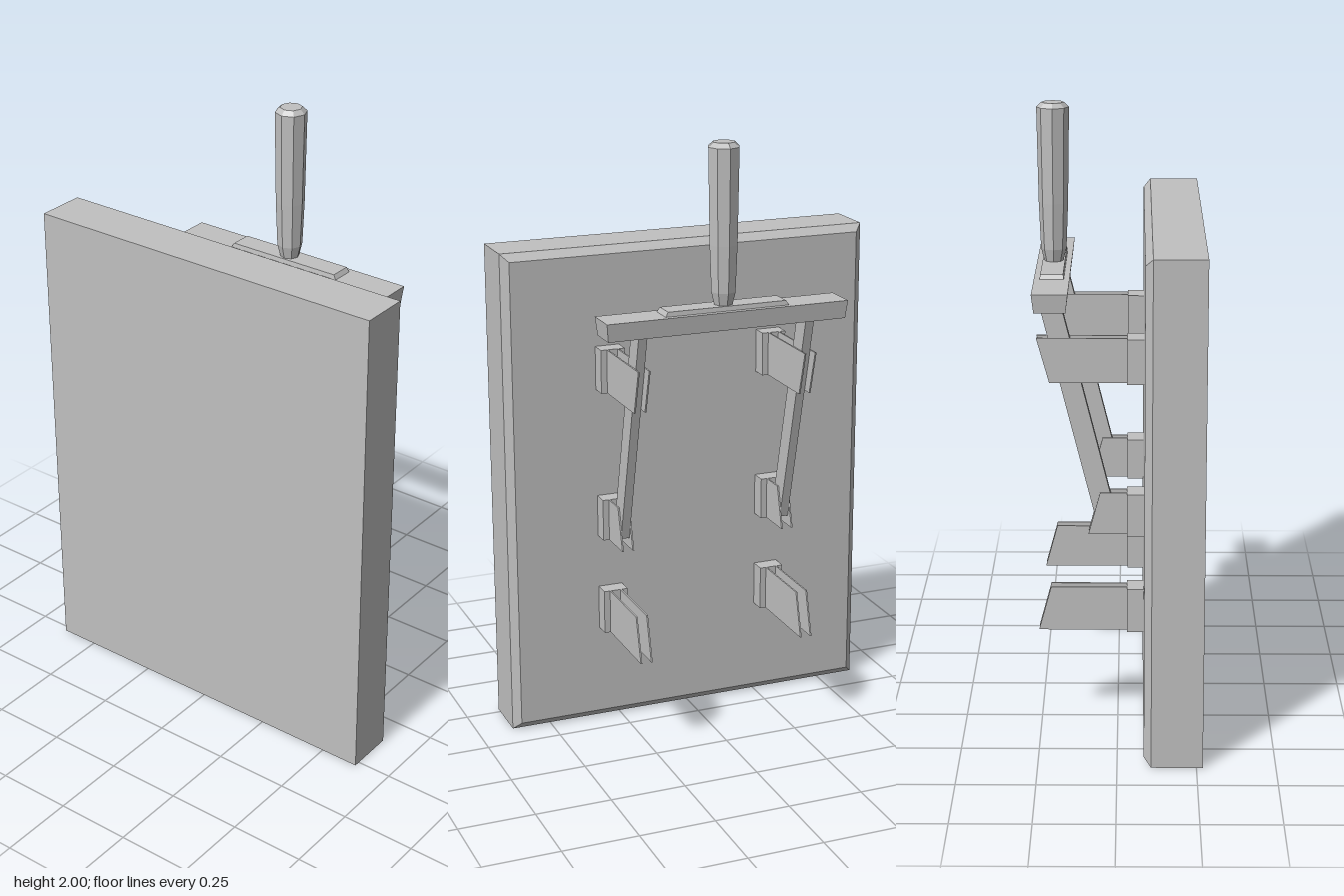
import * as THREE from 'three';

const grey = new THREE.MeshStandardMaterial({ color: 0xc0c0c0, flatShading: true });
grey.name = 'grey';

function part(name, geometry, parent) {
  const mesh = new THREE.Mesh(geometry, grey);
  mesh.name = name;
  parent.add(mesh);
  return mesh;
}

// Closed loft along y through rectangles given as [y, halfX, halfZ]
function loft(sections) {
  const pos = [], index = [];
  for (const [y, a, b] of sections) pos.push(-a, y, b, a, y, b, a, y, -b, -a, y, -b);
  for (let s = 0; s < sections.length - 1; s++) {
    for (let k = 0; k < 4; k++) {
      const p = s * 4 + k, q = s * 4 + (k + 1) % 4;
      index.push(p, q, q + 4, p, q + 4, p + 4);
    }
  }
  const t = (sections.length - 1) * 4;
  index.push(0, 2, 1, 0, 3, 2, t, t + 1, t + 2, t, t + 2, t + 3);
  const g = new THREE.BufferGeometry();
  g.setAttribute('position', new THREE.Float32BufferAttribute(pos, 3));
  g.setIndex(index);
  const flat = g.toNonIndexed();
  flat.computeVertexNormals();
  return flat;
}

// Flat x-y outline given a thickness, centred on z = 0
function slab(points, depth) {
  const shape = new THREE.Shape(points.map(([x, y]) => new THREE.Vector2(x, y)));
  return new THREE.ExtrudeGeometry(shape, { depth, bevelEnabled: false }).translate(0, 0, -depth / 2);
}

export function createModel() {
  const model = new THREE.Group();
  model.name = 'knifeSwitch';

  // Mounting board, chamfered around its +x face
  const board = loft([[-0.27, 0.818, 0.632], [-0.107, 0.818, 0.632], [-0.084, 0.793, 0.607]]);
  part('board', board.rotateZ(-Math.PI / 2).translate(0, 0.818, 0), model);

  // Contact clips: [name, bottom, top, reach at bottom, reach at top]
  const clips = [
    ['upperClip', 1.165, 1.31, 0.215, 0.255],
    ['hingeClip', 0.66, 0.80, 0.094, 0.056],
    ['lowerClip', 0.33, 0.478, 0.255, 0.215],
  ];

  for (const z of [-0.284, 0.284]) {
    const side = new THREE.Group();
    side.name = z > 0 ? 'frontContacts' : 'rearContacts';
    side.position.z = z;
    model.add(side);

    for (const [name, y0, y1, x0, x1] of clips) {
      const clip = new THREE.Group();
      clip.name = name;
      side.add(clip);
      const base = new THREE.BoxGeometry(0.055, y1 - y0, 0.082);
      part('clipBase', base.translate(-0.0575, (y0 + y1) / 2, 0), clip);
      for (const s of [-1, 1]) {
        const jaw = slab([[-0.03, y0], [x0, y0], [x1, y1], [-0.03, y1]], 0.005);
        part('clipJaw', jaw, clip).position.z = s * 0.018;
      }
    }

    // Tilted blade joining the hinge to the crossbar
    part('blade', slab([[0.002, 0.71], [0.066, 0.695], [0.246, 1.42], [0.178, 1.42]], 0.029), side);
  }

  // Crossbar with a raised plate under the grip
  part('crossbar', loft([[1.415, 0.049, 0.402], [1.474, 0.056, 0.408]]), model).position.x = 0.208;
  part('gripPlate', loft([[1.474, 0.038, 0.209], [1.489, 0.036, 0.2]]), model).position.x = 0.208;

  // Eight-sided tapered grip
  const profile = [[0, 1.485], [0.03, 1.485], [0.041, 1.53], [0.047, 1.68], [0.052, 1.985], [0.036, 2], [0, 2]];
  const grip = new THREE.LatheGeometry(profile.map(([r, y]) => new THREE.Vector2(r, y)), 8);
  part('grip', grip, model).position.x = 0.208;

  return model;
}
